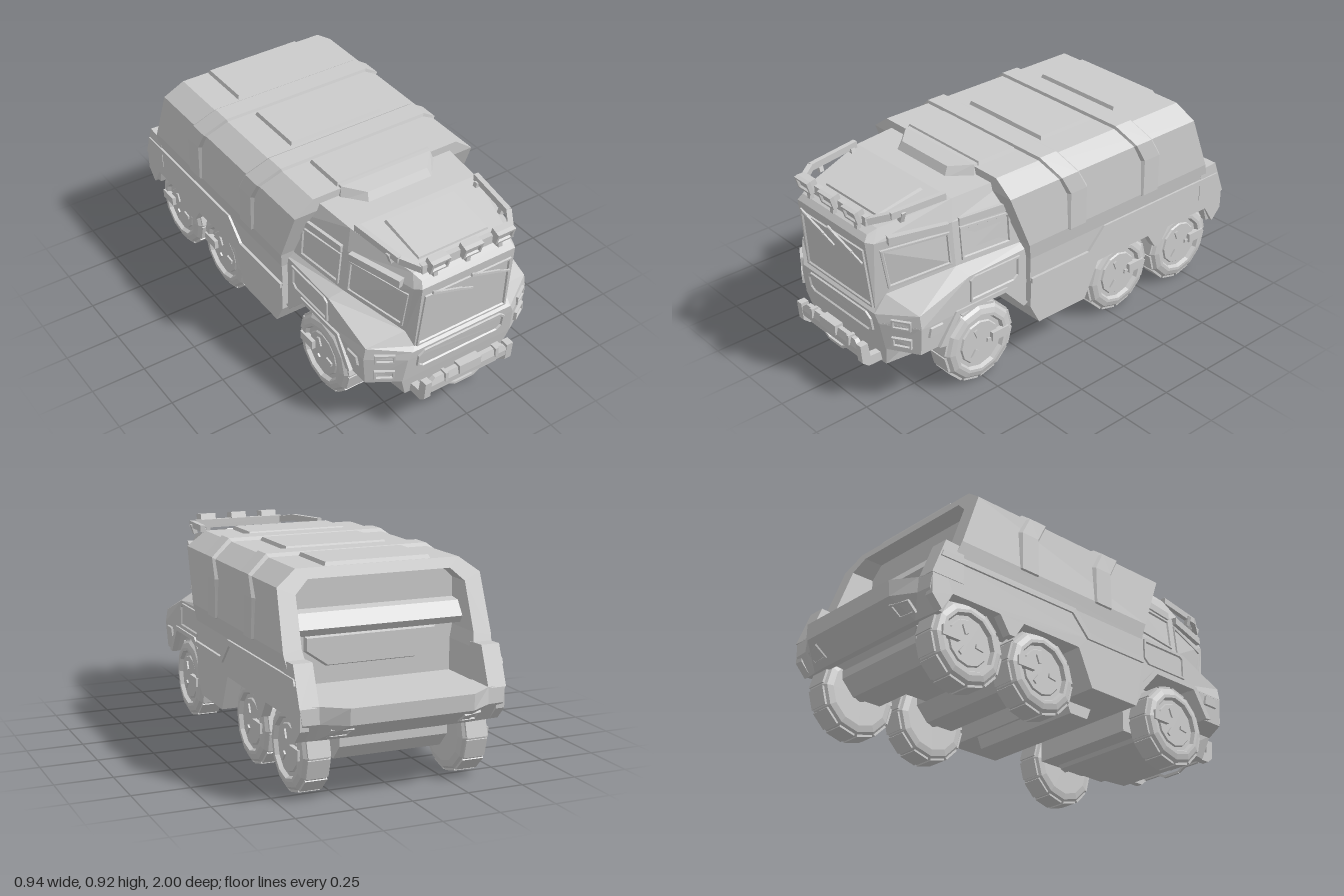
import * as THREE from 'three';

const mat = new THREE.MeshStandardMaterial({ color: 0xcccccc, flatShading: true, side: THREE.DoubleSide });
const V = (x, y, z) => new THREE.Vector3(x, y, z);
// mirror a half ring of [x, y, z] points across x = 0
const sym = half => [...half.map(p => V(...p)), ...half.map(p => V(-p[0], p[1], p[2])).reverse()];

// skin a list of equal-length rings and close both ends
function loft(rings) {
  const n = rings[0].length, pos = [];
  const tri = (...ps) => ps.forEach(p => pos.push(p.x, p.y, p.z));
  for (let i = 0; i < rings.length - 1; i++) for (let j = 0; j < n; j++) {
    const k = (j + 1) % n, a = rings[i], b = rings[i + 1];
    tri(a[j], a[k], b[k]);
    tri(a[j], b[k], b[j]);
  }
  const cap = (r, flip) => {
    for (let j = 0, k = n - 1; j + 1 < k; j++, k--) {
      flip ? tri(r[j], r[k], r[j + 1]) : tri(r[j], r[j + 1], r[k]);
      if (j + 1 < k - 1) flip ? tri(r[j + 1], r[k], r[k - 1]) : tri(r[j + 1], r[k - 1], r[k]);
    }
  };
  cap(rings[0], true);
  cap(rings[rings.length - 1], false);
  const g = new THREE.BufferGeometry();
  g.setAttribute('position', new THREE.Float32BufferAttribute(pos, 3));
  g.computeVertexNormals();
  return g;
}

// outline raised off the hull through steps of [inset, height]
function panelGeo(points, steps) {
  let p = points, n = p.length;
  const normal = () => p.reduce((s, a, i) => s.add(a.clone().cross(p[(i + 1) % n])), V(0, 0, 0)).normalize();
  const mid = p.reduce((s, a) => s.add(a), V(0, 0, 0)).divideScalar(n).sub(V(0, 0.4, 0));
  if (normal().dot(mid) < 0) p = [...p].reverse();
  const up = normal();
  return loft(steps.map(([inset, h]) => p.map((a, i) => {
    const e1 = a.clone().sub(p[(i + n - 1) % n]).normalize(), e2 = p[(i + 1) % n].clone().sub(a).normalize();
    const inward = up.clone().cross(e1).add(up.clone().cross(e2)).multiplyScalar(inset / (1 + e1.dot(e2)));
    return a.clone().add(inward).addScaledVector(up, h);
  })));
}
const FRAME = [[0, -0.01], [0.003, 0.008], [0.012, 0.008], [0.016, 0.001]];
const PLATE = [[0, -0.01], [0.012, 0.02]];

// side profile of [z, y] points extruded from x0 to x1
function sideGeo(profile, x0, x1) {
  const s = new THREE.Shape(profile.map(p => new THREE.Vector2(...p)));
  return new THREE.ExtrudeGeometry(s, { depth: x1 - x0, bevelEnabled: false }).rotateY(-Math.PI / 2).translate(x1, 0, 0);
}
const boxGeo = (w, h, d, x, y, z) => new THREE.BoxGeometry(w, h, d).translate(x, y, z);
// square bar between two points
function barGeo(a, b, w, h = w) {
  const A = V(...a), B = V(...b), o = new THREE.Object3D();
  o.position.copy(A).lerp(B, 0.5);
  o.lookAt(B);
  o.updateMatrix();
  return new THREE.BoxGeometry(w, h, A.distanceTo(B)).applyMatrix4(o.matrix);
}

function makeWheel() {
  const wheel = new THREE.Group(), sides = 12;
  const add = (name, g) => { const m = new THREE.Mesh(g, mat); m.name = name; wheel.add(m); };
  const profile = [[0, -0.065], [0.14, -0.065], [0.168, -0.058], [0.182, -0.042], [0.182, 0.042], [0.165, 0.06], [0.142, 0.067], [0.128, 0.067], [0.12, 0.05], [0, 0.05]];
  add('tyre', new THREE.LatheGeometry(profile.map(p => new THREE.Vector2(...p)), sides).rotateZ(-Math.PI / 2));
  for (let i = 0; i < sides; i++)
    add('treadBlock', boxGeo(0.095, 0.012, 0.08, 0, 0.175, 0).rotateX((i + 0.5) / sides * Math.PI * 2));
  add('hubRing', new THREE.CylinderGeometry(0.098, 0.105, 0.01, sides).rotateZ(-Math.PI / 2).translate(0.052, 0, 0));
  for (let i = 0; i < 3; i++) add('hubLug', boxGeo(0.014, 0.018, 0.04, 0.058, 0, 0.055).rotateX(i * Math.PI * 2 / 3 + 0.9));
  return wheel;
}

export function createModel() {
  const model = new THREE.Group();
  const add = (name, g) => { const m = new THREE.Mesh(g, mat); m.name = name; model.add(m); return m; };
  const panel = (name, pts, steps) => add(name, panelGeo(pts.map(p => V(...p)), steps));
  const panels = (name, pts, steps) => [1, -1].forEach(s => panel(name, pts.map(p => [s * p[0], p[1], p[2]]), steps));
  const bars = (name, a, b, w, h) => [1, -1].forEach(s => add(name, barGeo([s * a[0], a[1], a[2]], [s * b[0], b[1], b[2]], w, h)));
  const sides = (name, prof, x0, x1) => { add(name, sideGeo(prof, x0, x1)); add(name, sideGeo(prof, -x1, -x0)); };

  // Cab: nose below the arch line, then shoulders, greenhouse and roof
  add('nose', loft([
    [[0.28, 0.265, 0.91], [0.41, 0.265, 0.83], [0.41, 0.265, 0.72]],
    [[0.27, 0.395, 0.93], [0.42, 0.395, 0.83], [0.42, 0.395, 0.64]],
  ].map(sym)));
  const cab = [
    [[0.27, 0.39, 0.93], [0.42, 0.39, 0.83], [0.42, 0.39, 0.55], [0.42, 0.39, 0.25]],
    [[0.25, 0.43, 0.935], [0.41, 0.45, 0.83], [0.42, 0.54, 0.58], [0.42, 0.55, 0.25]],
    [[0.235, 0.445, 0.92], [0.25, 0.5, 0.875], [0.36, 0.57, 0.6], [0.4, 0.575, 0.25]],
    [[0.23, 0.76, 0.95], [0.25, 0.75, 0.92], [0.34, 0.765, 0.6], [0.385, 0.765, 0.25]],
    [[0.22, 0.785, 0.93], [0.235, 0.805, 0.89], [0.315, 0.857, 0.58], [0.34, 0.868, 0.25]],
  ];
  add('cab', loft(cab.map(sym)));
  // point on the window band between two pillars
  const onCab = (j, u, v) => {
    const [a, b, c, d] = [cab[2][j], cab[2][j + 1], cab[3][j], cab[3][j + 1]].map(p => V(...p));
    return a.lerp(b, u).lerp(c.lerp(d, u), v).toArray();
  };
  const corners = (j, u0, u1) => [[u0, 0.08], [u1, 0.08], [u1, 0.83], [u0, 0.86]].map(([u, v]) => onCab(j, u, v));
  panels('frontSideWindow', corners(1, 0.04, 0.96), FRAME);
  panels('rearSideWindow', corners(2, 0.08, 0.78), FRAME);
  panels('lowerSideWindow', [[0.42, 0.415, 0.58], [0.42, 0.52, 0.58], [0.42, 0.535, 0.555], [0.42, 0.535, 0.31], [0.42, 0.44, 0.31], [0.42, 0.415, 0.34]], FRAME);
  panel('windshield', [[-0.23, 0.443, 0.92], [0.23, 0.443, 0.92], [0.217, 0.72, 0.946], [-0.217, 0.72, 0.946]], FRAME);
  panel('grille', [[-0.195, 0.31, 0.918], [0.195, 0.31, 0.918], [0.225, 0.335, 0.922], [0.225, 0.395, 0.931], [0.195, 0.42, 0.934], [-0.195, 0.42, 0.934], [-0.225, 0.395, 0.931], [-0.225, 0.335, 0.922]], FRAME);
  for (const [y0, y1] of [[0.29, 0.338], [0.377, 0.423]])
    panels('headlight', [[0.31, y0, 0.898], [0.385, y0, 0.853], [0.385, y1, 0.853], [0.31, y1, 0.9]], [[0, -0.02], [0.002, 0.01], [0.01, 0.01], [0.012, 0]]);
  panels('sideVent', [[0.417, 0.335, 0.8], [0.417, 0.335, 0.71], [0.42, 0.385, 0.72], [0.42, 0.385, 0.79]], [[0, -0.01], [0.006, 0.008]]);
  bars('windowVisor', [0.27, 0.757, 0.87], [0.338, 0.757, 0.62], 0.034, 0.034);
  bars('rearVisor', [0.342, 0.76, 0.57], [0.37, 0.76, 0.35], 0.026, 0.034);
  for (const x of [-0.19, 0]) {
    add('wiper', barGeo([x, 0.74, 0.965], [x + 0.21, 0.655, 0.953], 0.008));
    add('wiperArm', barGeo([x, 0.735, 0.965], [x + 0.15, 0.685, 0.96], 0.01));
  }
  panel('cabHatch', [[-0.18, 0.808, 0.85], [0.18, 0.808, 0.85], [0.18, 0.853, 0.61], [-0.18, 0.853, 0.61]], [[0, -0.01], [0.01, 0.012]]);
  add('roofWedge', loft([
    [[0.16, 0.85, 0.49], [0.24, 0.85, 0.4], [0.24, 0.85, 0.3]],
    [[0.15, 0.895, 0.465], [0.225, 0.905, 0.385], [0.225, 0.905, 0.3]],
  ].map(sym)));

  // Roof rack and lamps
  bars('rackRail', [0.3, 0.872, 0.6], [0.27, 0.86, 0.85], 0.022, 0.03);
  bars('rackCorner', [0.27, 0.86, 0.85], [0.22, 0.845, 0.925], 0.022, 0.03);
  add('rackFront', barGeo([-0.225, 0.845, 0.925], [0.225, 0.845, 0.925], 0.024, 0.04));
  for (const z of [0.63, 0.8]) bars('rackPost', [0.27, 0.82, z], [0.285, 0.865, z], 0.02);
  for (const x of [-0.16, 0, 0.16]) {
    panel('roofLamp', [[x - 0.044, 0.834, 0.94], [x + 0.044, 0.834, 0.94], [x + 0.044, 0.89, 0.957], [x - 0.044, 0.89, 0.957]],
      [[0.006, -0.03], [0, 0], [0, 0.018], [0.01, 0.018], [0.012, 0.008]]);
    add('lampPost', boxGeo(0.02, 0.05, 0.02, x, 0.815, 0.93));
  }

  // Front bumper and bull bar
  add('bumper', loft([
    [[0.25, 0.165, 0.89], [0.27, 0.165, 0.72]], [[0.285, 0.275, 0.91], [0.285, 0.275, 0.72]],
  ].map(sym)));
  add('bullBar', loft([
    [[0.21, 0.225, 0.99], [0.21, 0.225, 0.965]], [[0.215, 0.255, 0.993], [0.215, 0.255, 0.965]], [[0.17, 0.288, 0.985], [0.17, 0.288, 0.965]],
  ].map(sym)));
  add('winch', boxGeo(0.11, 0.045, 0.04, 0, 0.277, 0.98));
  sides('bullBarEnd', [[0.96, 0.285], [0.997, 0.285], [0.99, 0.2], [0.96, 0.175], [0.86, 0.175], [0.86, 0.215], [0.95, 0.22]], 0.195, 0.227);
  for (const x of [-0.12, 0.14]) add('barClamp', boxGeo(0.015, 0.045, 0.035, x, 0.275, 0.982));
  const cable = [[-0.17, 0.195], [-0.08, 0.195], [-0.045, 0.175], [0.045, 0.175], [0.08, 0.195], [0.17, 0.195]];
  cable.slice(1).forEach((p, i) => add('towBar', barGeo([...cable[i], 0.96], [...p, 0.96], 0.012)));

  // Front wheel arch and chassis
  sides('frontArch', [[0.745, 0.27], [0.655, 0.405], [0.38, 0.405], [0.265, 0.285], [0.29, 0.275], [0.392, 0.385], [0.638, 0.385], [0.715, 0.265]], 0.4, 0.428);
  add('archRear', sideGeo([[0.39, 0.395], [0.28, 0.27], [0.2, 0.27], [0.2, 0.395]], -0.42, 0.42));
  add('frontChassis', boxGeo(0.52, 0.25, 0.4, 0, 0.275, 0.54));
  add('gearbox', sideGeo([[0.11, 0.18], [0.085, 0.123], [-0.015, 0.123], [-0.04, 0.18]], -0.285, 0.285));
  add('rearChassis', loft([
    [[0.18, 0.2, -0.2], [0.18, 0.2, -0.8]], [[0.26, 0.26, -0.16], [0.26, 0.26, -0.85]], [[0.26, 0.36, -0.12], [0.26, 0.36, -0.87]],
  ].map(sym)));

  // Cargo body: hollow at the sloped rear
  const outer = [[0.446, 0.4], [0.449, 0.51], [0.46, 0.585], [0.45, 0.832], [0.362, 0.897]];
  const inner = [[0.37, 0.402], [0.37, 0.54], [0.38, 0.6], [0.375, 0.8], [0.315, 0.855]];
  const rear = y => -0.67 - 0.36 * (0.91 - y), front = y => 0.385 - 0.45 * Math.max(0, Math.min(0.8 - y, 0.25));
  const ring = (half, zf) => sym(half.map(([x, y]) => [x, y, zf(y)]));
  add('cargoBody', loft([ring(inner, () => -0.6), ring(inner, rear), ring(outer, rear), ring(outer, front)]));
  for (const [z0, z1] of [[0.16, 0.375], [-0.27, 0.03], [-0.675, -0.4]])
    panel('roofHatch', [[-0.24, 0.893, z0], [0.24, 0.893, z0], [0.24, 0.893, z1], [-0.24, 0.893, z1]], PLATE);
  // ribs drop straight down the sides and sweep forward over the roof edge
  const ribLow = [[0.43, 0.565], [0.452, 0.585], [0.451, 0.75], [0.446, 0.828], [0.358, 0.893]];
  const ribHigh = [[0.43, 0.565], [0.468, 0.58], [0.466, 0.75], [0.46, 0.838], [0.367, 0.91]];
  for (const zc of [0.018, -0.42])
    add('bodyRib', loft([[ribLow, -0.06], [ribHigh, -0.045], [ribHigh, 0.045], [ribLow, 0.06]]
      .map(([half, d]) => ring(half, y => zc + d + 0.55 * Math.max(0, y - 0.75)))));

  // Lower hull, side skirts and trim
  add('lowerHull', sideGeo([[0.27, 0.41], [0.27, 0.27], [0.22, 0.175], [-0.05, 0.175], [-0.125, 0.34], [-0.82, 0.34], [-0.9, 0.34], [-0.92, 0.4], [-0.6, 0.4]], -0.42, 0.42));
  sides('sideSkirt', [[0.27, 0.4], [-0.07, 0.4], [-0.16, 0.49], [-0.89, 0.49], [-0.925, 0.4], [-0.925, 0.31], [-0.875, 0.255], [-0.82, 0.34], [-0.57, 0.34], [-0.52, 0.265], [-0.49, 0.265], [-0.44, 0.34], [-0.125, 0.34], [-0.05, 0.175], [0.22, 0.175], [0.27, 0.27]], 0.41, 0.449);
  sides('skirtTrim', [[0.27, 0.415], [-0.06, 0.415], [-0.15, 0.51], [-0.88, 0.51], [-0.89, 0.485], [-0.165, 0.485], [-0.075, 0.392], [0.27, 0.392]], 0.4, 0.459);

  // Rear deck with raked underside, wings and bay
  add('rearDeck', loft([
    [[0.43, 0.255, -0.855], [0.43, 0.255, -0.875], [0.37, 0.255, -0.88], [0.3, 0.255, -0.885]],
    [[0.44, 0.335, -0.82], [0.44, 0.335, -0.93], [0.37, 0.335, -0.935], [0.27, 0.335, -0.995]],
    [[0.45, 0.405, -0.8], [0.45, 0.405, -0.925], [0.37, 0.405, -0.93], [0.27, 0.405, -1]],
  ].map(sym)));
  sides('rearWing', [[-0.77, 0.56], [-0.865, 0.565], [-0.93, 0.4], [-0.77, 0.4]], 0.37, 0.452);
  panels('tailLight', [[0.24, 0.275, -0.91], [0.33, 0.275, -0.9], [0.33, 0.318, -0.945], [0.24, 0.318, -0.972]], [[0, -0.01], [0.002, 0.008], [0.01, 0.008], [0.012, 0]]);
  add('bayBeam', sideGeo([[-0.58, 0.72], [-0.65, 0.71], [-0.69, 0.65], [-0.67, 0.62], [-0.58, 0.62]], -0.38, 0.38));
  panel('bayDoor', [[-0.3, 0.61, -0.6], [0.3, 0.61, -0.6], [0.3, 0.54, -0.6], [0.2, 0.47, -0.6], [-0.2, 0.47, -0.6], [-0.3, 0.54, -0.6]], PLATE);

  // Wheels, axle housings and hub brackets
  for (const z of [0.516, -0.3, -0.7]) {
    add('axle', new THREE.CylinderGeometry(0.035, 0.035, 0.6, 8).rotateZ(Math.PI / 2).translate(0, 0.183, z));
    add('axleHousing', sideGeo([[z - 0.13, 0.26], [z - 0.13, 0.2], [z - 0.07, 0.135], [z + 0.07, 0.135], [z + 0.13, 0.2], [z + 0.13, 0.26]], -0.24, 0.24));
    for (const s of [1, -1]) {
      const wheel = makeWheel();
      wheel.name = 'wheel';
      wheel.position.set(s * 0.35, 0.183, z);
      if (s < 0) wheel.rotation.y = Math.PI;
      model.add(wheel);
      add('hubBracket', boxGeo(0.03, 0.042, 0.09, s * 0.41, 0.19, z - 0.1));
    }
  }
  return model;
}
